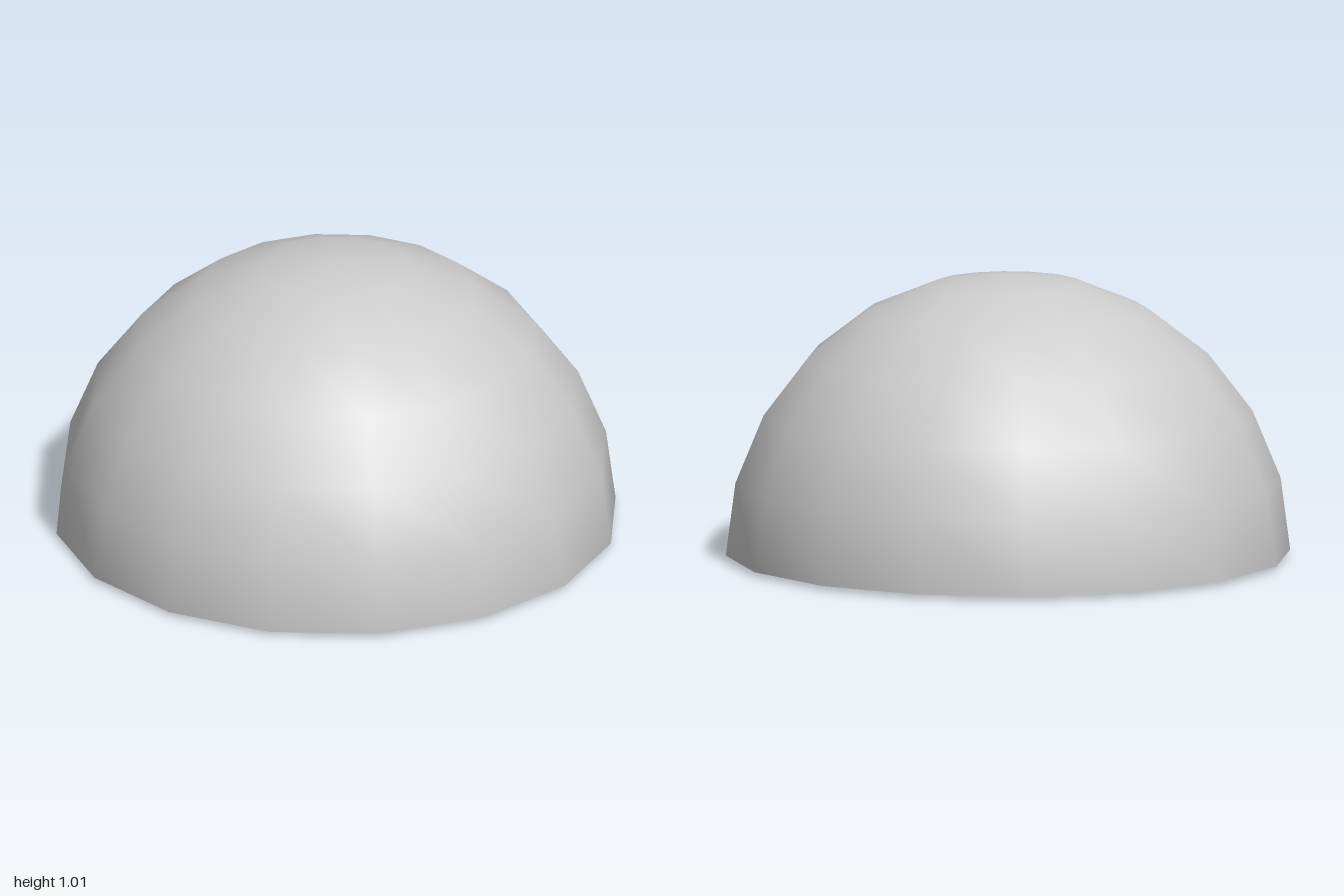
import * as THREE from 'three';
import { toCreasedNormals } from 'three/addons/utils/BufferGeometryUtils.js';

export function createModel() {
  const grey = new THREE.MeshStandardMaterial({ color: 0xcccccc });
  grey.name = 'light grey';
  const model = new THREE.Group();
  model.name = 'domeLamp';

  const add = (name, geometry, parent = model) => {
    const mesh = new THREE.Mesh(geometry, grey);
    mesh.name = name;
    parent.add(mesh);
    return mesh;
  };
  const lathe = (points, sides) =>
    new THREE.LatheGeometry(points.map(([r, y]) => new THREE.Vector2(r, y)), sides);

  // Thick hemispherical shade: outer skin, inner skin and flat rim
  const SIDES = 16, RINGS = 6, RIM_Y = 0.015, INNER = 0.96;
  const shade = new THREE.Group();
  shade.name = 'shade';
  shade.position.y = RIM_Y;
  model.add(shade);
  add('shadeOuter', new THREE.SphereGeometry(1, SIDES, RINGS, 0, Math.PI * 2, 0, Math.PI / 2), shade);
  const innerProfile = [];
  for (let i = 0; i <= RINGS; i++) {
    const a = (i / RINGS) * Math.PI / 2;
    innerProfile.push([INNER * Math.sin(a), INNER * Math.cos(a)]);
  }
  add('shadeInner', lathe(innerProfile, SIDES), shade);
  add('shadeRim', lathe([[INNER, 0], [1, 0]], SIDES), shade);

  // Bevelled foot disc
  add('foot', toCreasedNormals(lathe(
    [[0, 0], [0.355, 0], [0.37, 0.015], [0.37, 0.04], [0.33, 0.06], [0, 0.06]], 12), 0.4));

  // Flared collar that carries the struts, and the bulb neck above it
  add('collar', toCreasedNormals(lathe(
    [[0.22, 0.06], [0.2, 0.11], [0.2, 0.16], [0.24, 0.19], [0.24, 0.25], [0.2, 0.28], [0, 0.28]], 12), 0.6));
  add('bulbNeck', toCreasedNormals(lathe(
    [[0.14, 0.28], [0.11, 0.32], [0.09, 0.34], [0.09, 0.42], [0, 0.42]], 12), 0.6));

  // Round bulb
  add('bulb', new THREE.SphereGeometry(0.135, 16, 12)).position.y = 0.51;

  // Three struts leaning out from the collar to the shade
  const low = new THREE.Vector2(0.25, 0.21), high = new THREE.Vector2(0.44, 0.86);
  const length = low.distanceTo(high);
  for (let i = 0; i < 3; i++) {
    const arm = new THREE.Group();
    arm.name = 'strutArm' + (i + 1);
    arm.rotation.y = Math.PI + i * Math.PI * 2 / 3;
    model.add(arm);
    const strut = add('strut', new THREE.BoxGeometry(0.045, length, 0.045), arm);
    strut.position.set((low.x + high.x) / 2, (low.y + high.y) / 2, 0);
    strut.rotation.z = -Math.atan2(high.x - low.x, high.y - low.y);
  }
  return model;
}
